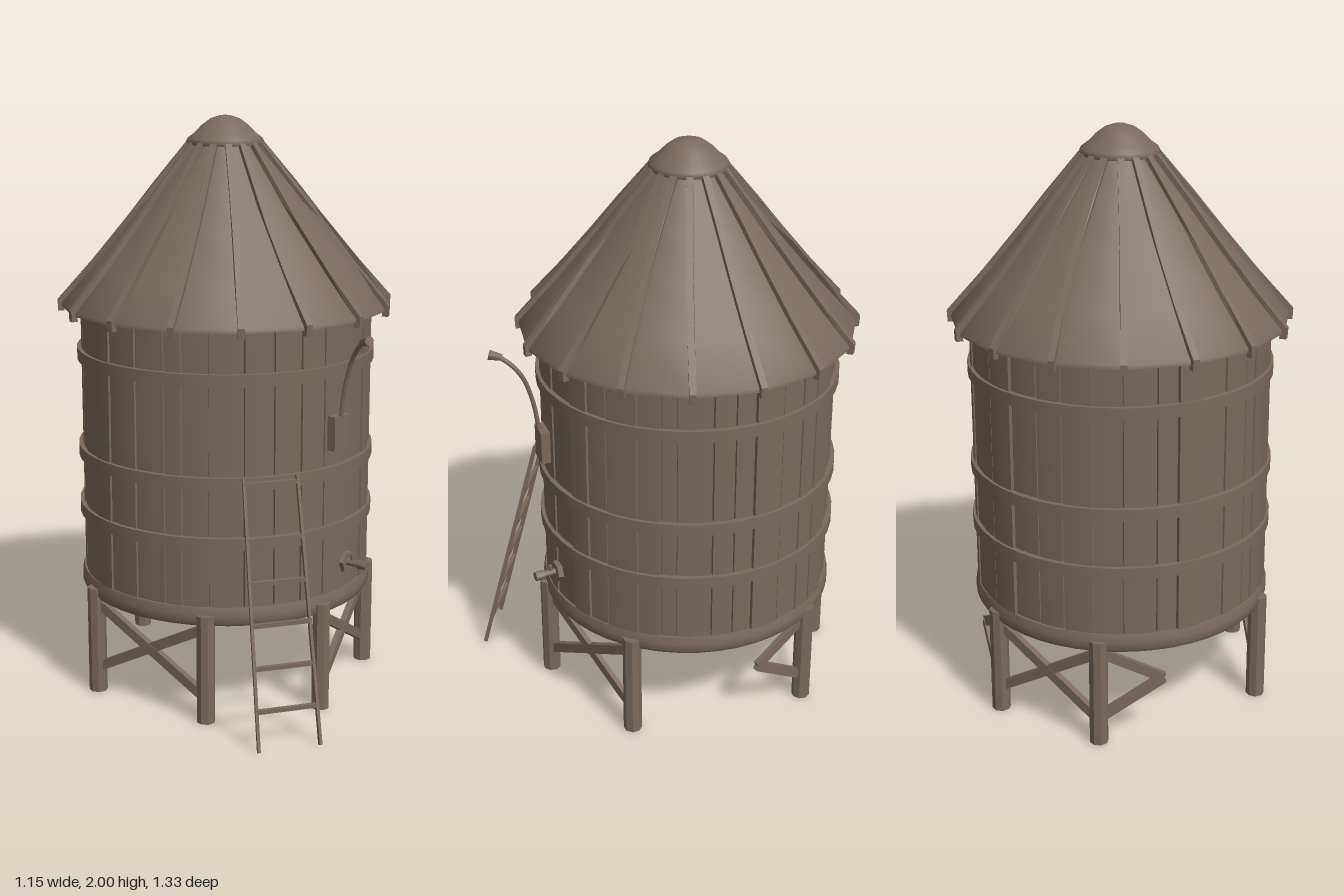
import * as THREE from 'three';
import { toCreasedNormals } from 'three/addons/utils/BufferGeometryUtils.js';

const V = (x, y, z) => new THREE.Vector3(x, y, z);

export function createModel() {
  const model = new THREE.Group();
  model.name = 'waterTower';
  const wood = new THREE.MeshStandardMaterial({ color: 0x7a6a5b });
  wood.name = 'weatheredBrown';

  // The tower axis sits slightly behind the origin; the ladder reaches forward.
  const tower = new THREE.Group();
  tower.name = 'tower';
  tower.position.z = -0.09;
  model.add(tower);

  let seed = 7;
  const rand = () => (seed = (seed * 16807) % 2147483647) / 2147483647;

  function add(name, geometry, parent = tower) {
    const mesh = new THREE.Mesh(geometry, wood);
    mesh.name = name;
    parent.add(mesh);
    return mesh;
  }
  function lathe(name, points, segments, crease = 0.6) {
    const g = new THREE.LatheGeometry(points.map(p => new THREE.Vector2(p[0], p[1])), segments);
    return add(name, toCreasedNormals(g, crease));
  }
  // Rectangular bar between two points
  function bar(name, a, b, w, h, parent = tower) {
    const mesh = new THREE.Mesh(new THREE.BoxGeometry(w, h, a.distanceTo(b)), wood);
    mesh.name = name;
    mesh.position.copy(a).lerp(b, 0.5);
    mesh.lookAt(b);
    parent.add(mesh);
    return mesh;
  }
  // Round rod between two points
  function rod(name, a, b, r0, r1 = r0, sides = 10) {
    const g = new THREE.CylinderGeometry(r1, r0, a.distanceTo(b), sides);
    const mesh = add(name, toCreasedNormals(g, 0.9));
    mesh.position.copy(a).lerp(b, 0.5);
    mesh.quaternion.setFromUnitVectors(V(0, 1, 0), b.clone().sub(a).normalize());
    return mesh;
  }

  // Tank wall: uneven vertical staves with narrow grooves between them
  const outline = new THREE.Shape();
  const widths = Array.from({ length: 34 }, () => 0.6 + rand() * 0.8);
  const total = widths.reduce((s, w) => s + w, 0);
  let angle = 0;
  widths.forEach((w, i) => {
    const span = (w / total) * Math.PI * 2;
    const radius = 0.502 + rand() * 0.01;
    const put = (t, r) => {
      const x = r * Math.cos(t), y = r * Math.sin(t);
      if (i === 0 && t === 0) outline.moveTo(x, y);
      else outline.lineTo(x, y);
    };
    put(angle, 0.494);
    for (let k = 0; k <= 3; k++) put(angle + 0.005 + (span - 0.01) * k / 3, radius);
    put(angle + span - 0.001, 0.494);
    angle += span;
  });
  const wall = new THREE.ExtrudeGeometry(outline, { depth: 0.97, bevelEnabled: false });
  wall.rotateX(-Math.PI / 2);
  add('tankStaves', toCreasedNormals(wall, 0.5)).position.y = 0.39;

  // Hoops around the tank
  for (const y of [0.635, 0.842, 1.188]) {
    const a = y - 0.021, b = y + 0.021;
    lathe('hoop', [[0.5, a], [0.521, a], [0.521, b], [0.5, b]], 48);
  }

  // Base platform with a rim
  lathe('basePlatform', [[0, 0.362], [0.488, 0.362], [0.492, 0.346], [0.51, 0.346],
    [0.518, 0.36], [0.518, 0.385], [0.512, 0.41], [0.49, 0.41]], 48);

  // Conical roof
  const slope = [[0.57, 1.365], [0.45, 1.5], [0.33, 1.645], [0.235, 1.765], [0.11, 1.915]];
  lathe('roof', [[0.48, 1.36], [0.572, 1.352], ...slope], 16, 0.7).rotation.y = Math.PI / 16;

  // Slightly crooked roof battens with ends that hook over the eaves
  for (let i = 0; i < 16; i++) {
    const s = new THREE.Shape();
    s.moveTo(0.56, 1.335);
    s.lineTo(0.582, 1.335);
    s.lineTo(0.584, 1.372);
    slope.slice(1).forEach(p => s.lineTo(p[0] + 0.011, p[1] + 0.01));
    slope.slice().reverse().forEach(p => s.lineTo(p[0] - 0.008, p[1] - 0.008));
    s.closePath();
    const g = new THREE.ExtrudeGeometry(s, { depth: 0.022, bevelEnabled: false });
    const pos = g.attributes.position;
    const bend = (rand() - 0.5) * 0.04;
    for (let k = 0; k < pos.count; k++) {
      const t = (pos.getX(k) - 0.11) / 0.47;
      pos.setZ(k, pos.getZ(k) - 0.011 + bend * Math.sin(Math.PI * t));
    }
    g.computeVertexNormals();
    add('roofBatten', g).rotation.y = (i + 0.5) * Math.PI / 8;
  }

  // Roof cap
  lathe('roofCap', [[0, 1.902], [0.13, 1.902], [0.133, 1.912], [0.128, 1.923], [0.105, 1.94],
    [0.08, 1.966], [0.05, 1.988], [0.02, 1.998], [0, 2]], 24, 0.8);

  // Six legs, mirrored left and right
  const ground = [[0.205, 0.465], [0.5, 0.1], [0.205, -0.46]];
  function cross(a, b) {
    bar('crossBrace', V(a[0], 0.335, a[1]), V(b[0], 0.085, b[1]), 0.018, 0.034);
    bar('crossBrace', V(a[0], 0.085, a[1]), V(b[0], 0.335, b[1]), 0.022, 0.034);
  }
  for (const m of [1, -1]) {
    const feet = ground.map(([x, z]) => [m * x, z]);
    for (const [x, z] of feet) {
      const g = new THREE.CylinderGeometry(0.032, 0.032, 0.385, 8);
      g.rotateY(Math.atan2(x, z) + Math.PI / 8);
      add('leg', toCreasedNormals(g, 0.5)).position.set(x, 0.1925, z);
    }
    cross(feet[0], feet[1]);
    // Broken half brace beside each rear leg
    const tip = V(m * 0.372, 0.228, -0.318), [rx, rz] = feet[2];
    bar('halfBrace', V(rx, 0.34, rz), tip, 0.018, 0.034);
    bar('halfBrace', V(rx, 0.09, rz), tip, 0.022, 0.034);
  }
  cross([-0.205, -0.46], [0.205, -0.46]);

  // Leaning ladder
  const ladder = new THREE.Group();
  ladder.name = 'ladder';
  model.add(ladder);
  const at = (m, y) => V(m * (0.106 - 0.014 * y / 0.86), y, 0.66 - 0.222 * y / 0.86);
  for (const m of [1, -1]) bar('ladderRail', at(m, 0.003), at(m, 0.865), 0.01, 0.014, ladder);
  for (const y of [0.13, 0.265, 0.4, 0.533, 0.67, 0.845])
    bar('ladderRung', at(-1, y), at(1, y), 0.014, 0.014, ladder);

  // Wall box with a bent pipe and lamp
  const box = add('controlBox', new THREE.BoxGeometry(0.078, 0.118, 0.035));
  box.position.set(0.262, 0.978, 0.45);
  box.rotation.y = 0.53;
  const pipe = new THREE.CatmullRomCurve3([V(0.266, 1.03, 0.462), V(0.272, 1.13, 0.475),
    V(0.285, 1.23, 0.503), V(0.292, 1.28, 0.54), V(0.296, 1.312, 0.585)]);
  add('lampPipe', new THREE.TubeGeometry(pipe, 16, 0.008, 8));
  rod('lampHead', V(0.293, 1.306, 0.572), V(0.302, 1.317, 0.613), 0.011, 0.017);

  // Water valve: wall flange, spout and tap
  const out = V(0.61, 0, 0.79), root = V(0.313, 0.5, 0.4);
  const along = d => root.clone().addScaledVector(out, d);
  rod('valveFlange', along(-0.015), along(0.013), 0.042, 0.036, 6);
  rod('valveSpout', along(0), along(0.07), 0.012);
  rod('valveTap', along(0.055), along(0.088), 0.016);
  rod('valveStem', along(0.03), along(0.03).add(V(0, 0.03, 0)), 0.007);

  return model;
}
